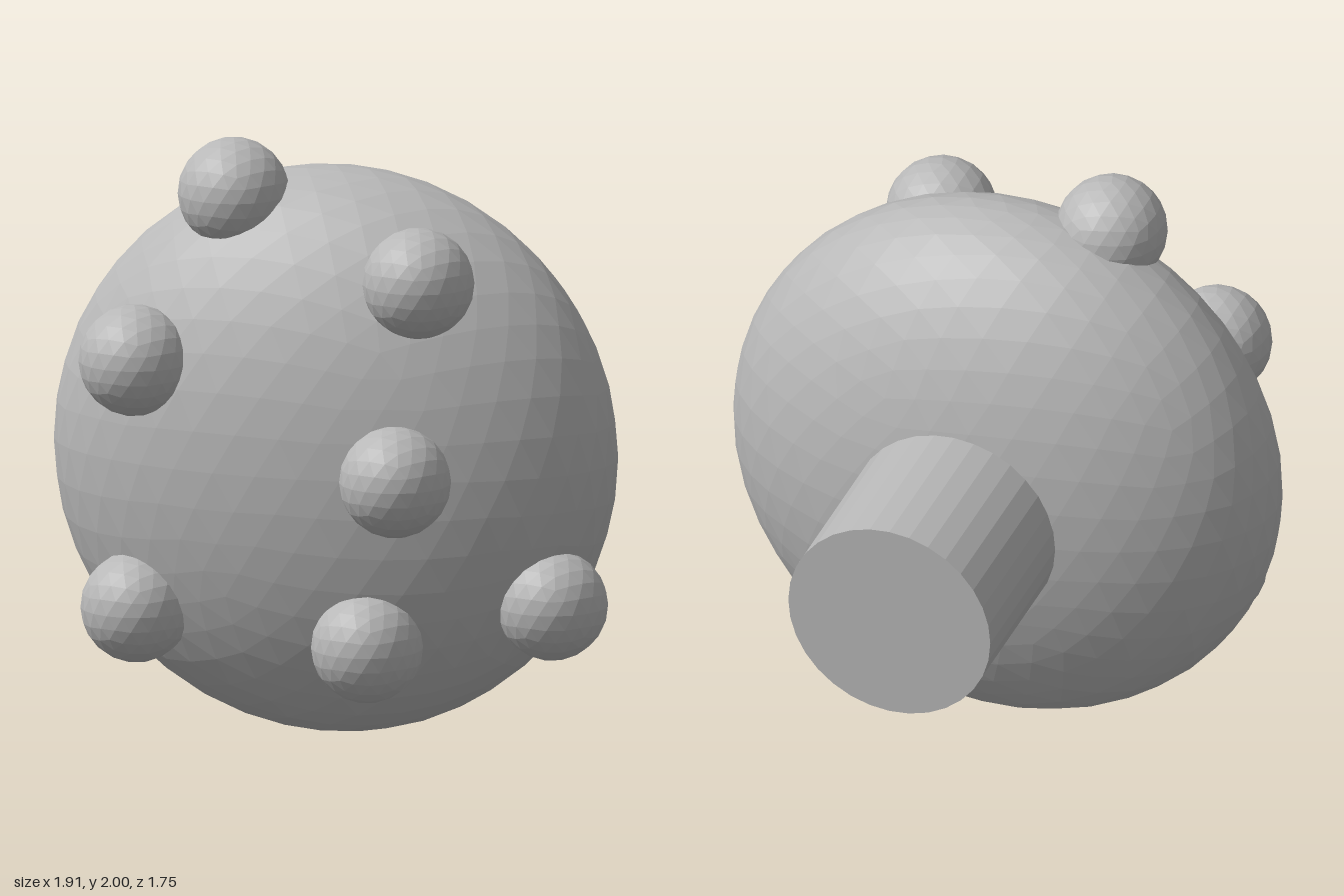
import * as THREE from 'three';

export function createModel() {
  const model = new THREE.Group();
  model.name = 'spottedMushroom';
  const grey = new THREE.MeshStandardMaterial({ color: 0xb8b8b8, flatShading: true });
  grey.name = 'grey';

  const add = (name, geometry, x, y, z) => {
    const mesh = new THREE.Mesh(geometry, grey);
    mesh.name = name;
    mesh.position.set(x, y, z);
    model.add(mesh);
  };

  // Faceted ball with a vertex at its top pole
  const ball = (radius, detail) =>
    new THREE.IcosahedronGeometry(radius, detail).rotateZ(-0.5536);

  // Flattened round cap
  add('cap', ball(0.945, 7).scale(1, 1, 0.55), -0.01, 0.95, 0.19);

  // Stem pointing backwards, sunk into the cap
  const stemBack = -0.875, stemFront = 0.15;
  const stem = new THREE.CylinderGeometry(0.355, 0.355, stemFront - stemBack, 32).rotateX(Math.PI / 2);
  add('stem', stem, -0.008, 0.95, (stemFront + stemBack) / 2);

  // Round spots scattered over the front of the cap
  const spot = ball(0.184, 3);
  const spots = [
    [-0.32, 1.816, 0.33], [0.357, 1.59, 0.535], [-0.594, 1.29, 0.57],
    [0.318, 0.955, 0.69], [-0.605, 0.45, 0.5], [0.2, 0.377, 0.6], [0.768, 0.503, 0.375],
  ];
  spots.forEach(([x, y, z], i) => add(`spot${i + 1}`, spot, x, y, z));

  return model;
}
